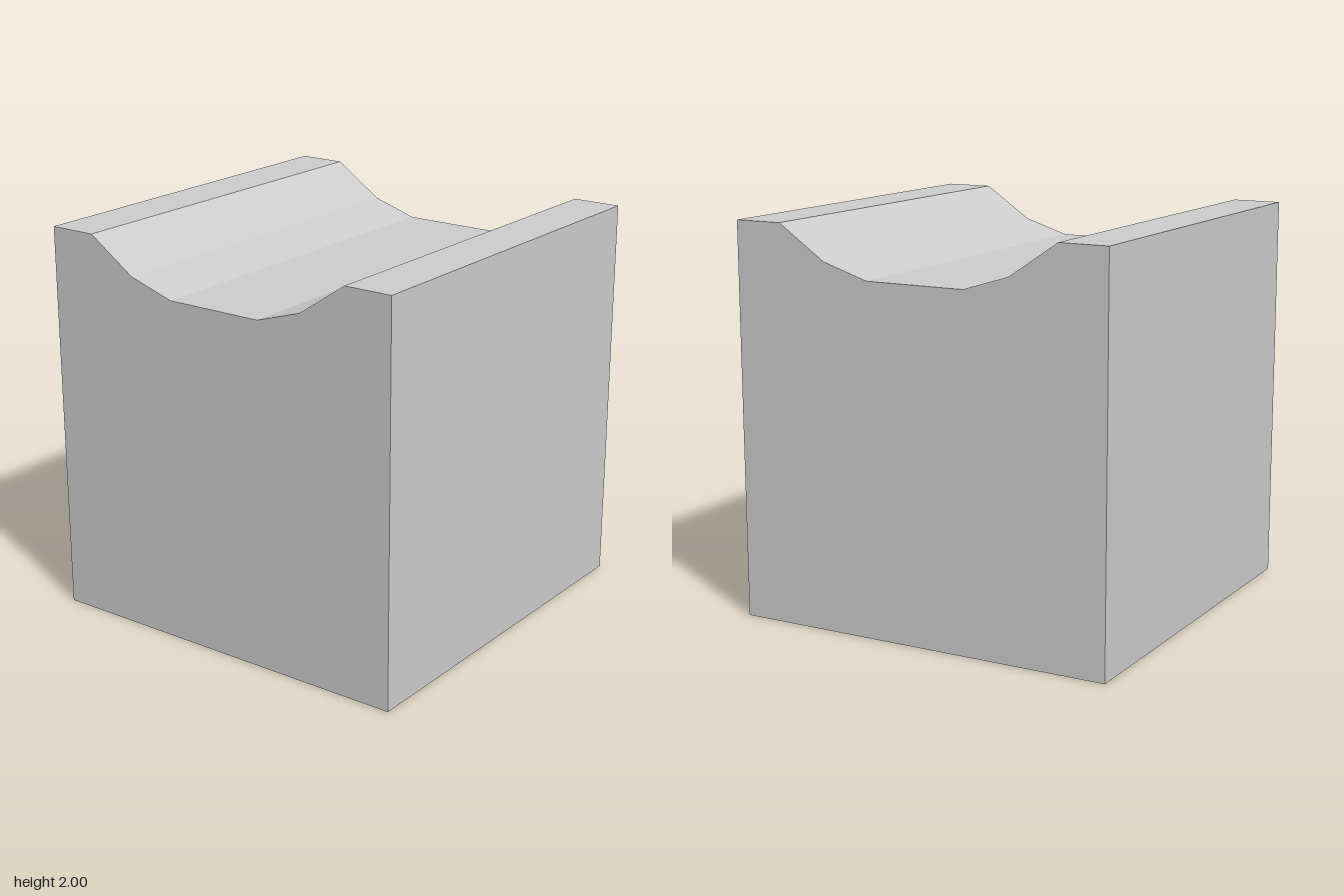
import * as THREE from 'three';

export function createModel() {
  const group = new THREE.Group();

  // Right half of the block's profile, from the base up and in to the trough floor
  const half = [[1, 0], [1, 2], [0.75, 2], [0.5, 1.83], [0.26, 1.755]];
  const mirrored = half.map(([x, y]) => [-x, y]).reverse();
  const outline = [...half, ...mirrored].map(([x, y]) => new THREE.Vector2(x, y));

  // Block with a faceted channel running front to back
  const geometry = new THREE.ExtrudeGeometry(new THREE.Shape(outline), {
    depth: 2,
    bevelEnabled: false,
  });
  geometry.translate(0, 0, -1);

  const block = new THREE.Mesh(
    geometry,
    new THREE.MeshStandardMaterial({ color: 0xcccccc, flatShading: true })
  );
  block.name = 'channelBlock';
  group.add(block);
  return group;
}
